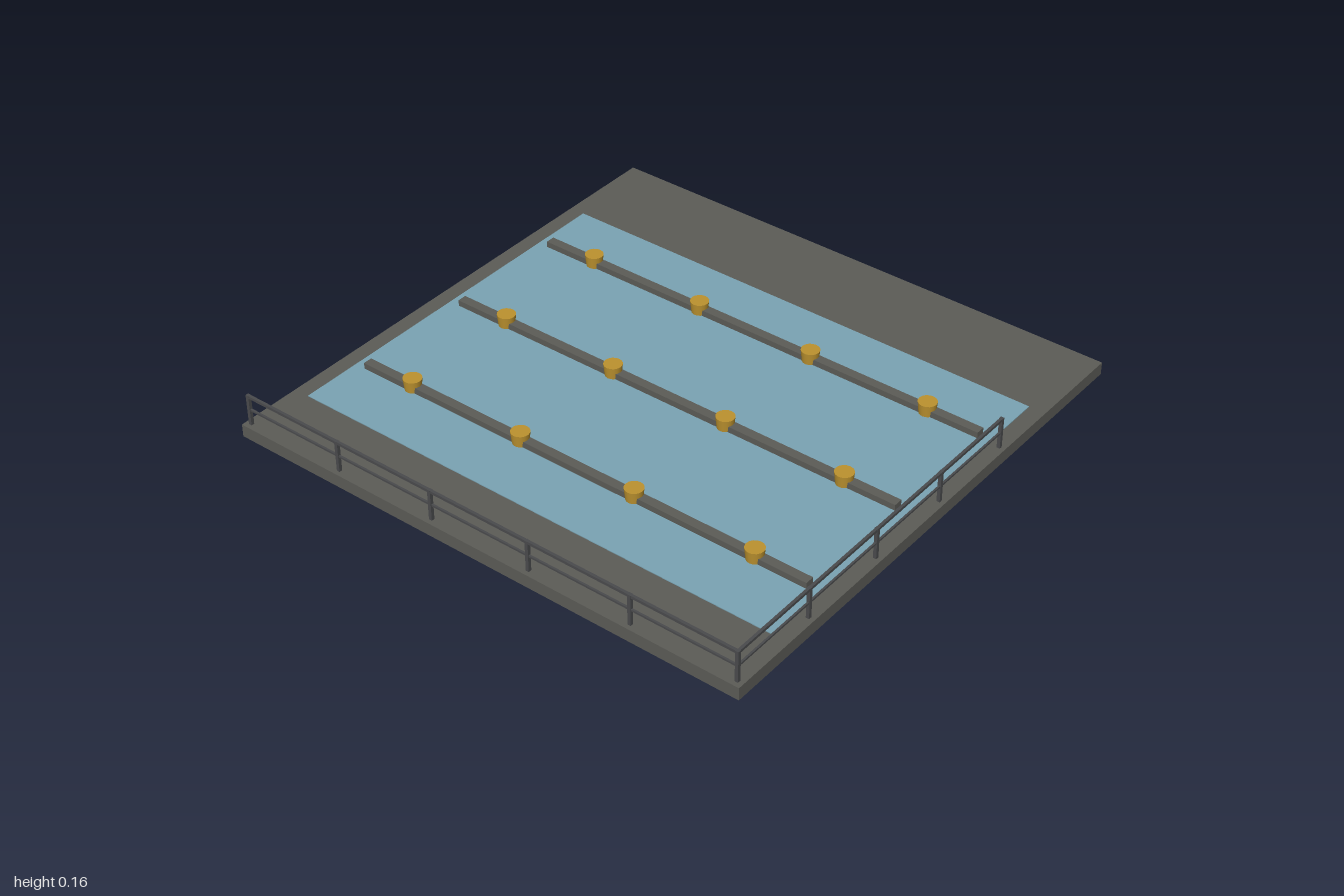
import * as THREE from 'three';

const material = (name, color) => {
  const m = new THREE.MeshStandardMaterial({ color });
  m.name = name;
  return m;
};

export function createModel() {
  const concrete = material('concrete grey', 0x5c5c57);
  const water = material('water blue', 0x7aa4b4);
  const gold = material('ochre', 0xbc922f);
  const steel = material('dark steel', 0x4a4b4d);

  const model = new THREE.Group();
  model.name = 'poolDeck';
  const add = (parent, name, geometry, mat, x, y, z) => {
    const mesh = new THREE.Mesh(geometry, mat);
    mesh.name = name;
    mesh.position.set(x, y, z);
    parent.add(mesh);
    return mesh;
  };
  const box = (parent, name, mat, w, h, d, x, y, z) =>
    add(parent, name, new THREE.BoxGeometry(w, h, d), mat, x, y, z);

  // Deck slab and the thin water surface
  const top = 0.047;
  box(model, 'slab', concrete, 2, top, 2, 0, top / 2, 0);
  box(model, 'waterSurface', water, 1.88, 0.004, 1.4, 0, top + 0.001, 0.06);

  // Long beams, each carrying four tapered drums
  const drum = new THREE.CylinderGeometry(0.033, 0.028, 0.047, 16);
  for (const z of [-0.41, 0.055, 0.52]) {
    box(model, 'beam', concrete, 1.8, 0.025, 0.034, 0, top + 0.0125, z);
    for (const x of [-0.697, -0.232, 0.232, 0.697]) {
      add(model, 'drum', drum, gold, x, top + 0.0235, z);
    }
  }

  // Railing: evenly spaced posts with a top and a middle rail
  const railing = (name, from, to, bays) => {
    const group = new THREE.Group();
    group.name = name;
    const [x0, z0] = from, [x1, z1] = to;
    for (let i = 0; i <= bays; i++) {
      const t = i / bays;
      box(group, 'post', steel, 0.012, 0.116, 0.012,
        x0 + (x1 - x0) * t, top + 0.058, z0 + (z1 - z0) * t);
    }
    for (const [y, s] of [[0.158, 0.01], [0.106, 0.007]]) {
      box(group, 'rail', steel, Math.abs(x1 - x0) + s, s, Math.abs(z1 - z0) + s,
        (x0 + x1) / 2, y, (z0 + z1) / 2);
    }
    model.add(group);
  };
  railing('frontRailing', [-0.978, 0.978], [0.978, 0.978], 5);
  railing('leftRailing', [0.978, 0.978], [0.978, -0.4], 4);

  return model;
}
